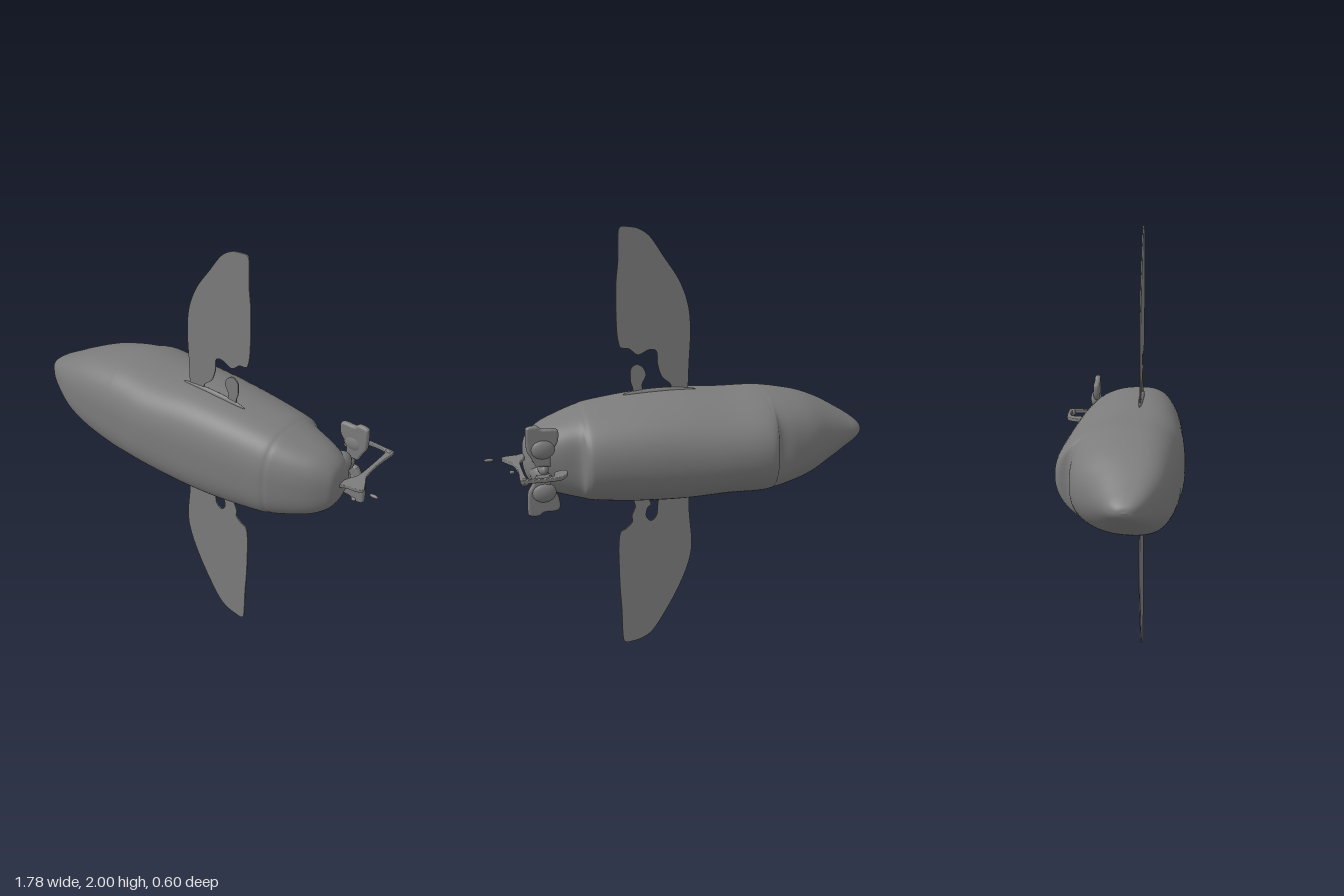
import * as THREE from 'three';
import { ParametricGeometry } from 'three/addons/geometries/ParametricGeometry.js';
import { mergeVertices } from 'three/addons/utils/BufferGeometryUtils.js';

const darkGrey = new THREE.MeshStandardMaterial({ color: 0x7c7c7c, side: THREE.DoubleSide });

function add(group, name, geometry, x = 0, y = 0, z = 0) {
  const mesh = new THREE.Mesh(geometry, darkGrey);
  mesh.name = name;
  mesh.position.set(x, y, z);
  group.add(mesh);
  return mesh;
}

function addEllipsoid(group, name, position, radii) {
  add(group, name, new THREE.SphereGeometry(1, 28, 18), ...position).scale.set(...radii);
}

// Smooth outline through a few points
function outline(points, PathType = THREE.Shape) {
  const p = points.map(([x, y]) => new THREE.Vector2(x, y));
  const path = new PathType().moveTo(p[0].x, p[0].y);
  path.splineThru(p.slice(1));
  path.closePath();
  return path;
}

// Thin plate, centred on its own thickness
function plate(shape, depth, bevel = 0) {
  const g = new THREE.ExtrudeGeometry(shape, {
    depth, curveSegments: 60, bevelEnabled: bevel > 0,
    bevelSize: bevel, bevelThickness: bevel, bevelOffset: -bevel, bevelSegments: 4,
  });
  return g.translate(0, 0, -depth / 2);
}

// Hull stations: x, half height, rear z, front z, depth of the notch along the rear ridge
const stations = [
  [-0.89, 0.0, 0.07, 0.08, 0], [-0.88, 0.025, 0.035, 0.115, 0], [-0.85, 0.052, 0.0, 0.15, 0],
  [-0.8, 0.085, -0.03, 0.185, 0], [-0.7, 0.143, -0.095, 0.235, 0.005],
  [-0.6, 0.187, -0.165, 0.26, 0.012], [-0.5, 0.213, -0.215, 0.275, 0.032],
  [-0.42, 0.228, -0.244, 0.283, 0.052], [-0.395, 0.231, -0.25, 0.286, 0.005],
  [-0.34, 0.234, -0.26, 0.29, 0], [-0.2, 0.234, -0.256, 0.3, 0], [0.0, 0.246, -0.238, 0.29, 0],
  [0.2, 0.24, -0.222, 0.275, 0], [0.4, 0.219, -0.202, 0.25, 0], [0.45, 0.207, -0.19, 0.237, 0.006],
  [0.48, 0.199, -0.18, 0.23, 0.042], [0.56, 0.174, -0.15, 0.198, 0.03],
  [0.63, 0.148, -0.115, 0.16, 0.01], [0.68, 0.113, -0.08, 0.12, 0],
  [0.705, 0.07, -0.03, 0.09, 0], [0.712, 0.0, 0.03, 0.05, 0],
];

function hullGeometry() {
  const curve = (pick) => new THREE.CatmullRomCurve3(
    stations.map((s) => new THREE.Vector3(...pick(s))), false, 'catmullrom');
  const heights = curve(([x, h, , , notch]) => [x, h, notch]);
  const sides = curve(([x, , back, front]) => [x, back, front]);
  const power = (v, n) => Math.sign(v) * Math.pow(Math.abs(v), 2 / n);
  const a = new THREE.Vector3(), b = new THREE.Vector3();
  let g = new ParametricGeometry((u, v, target) => {
    heights.getPoint(u, a);
    sides.getPoint(u, b);
    const angle = v * Math.PI * 2, c = Math.cos(angle), s = Math.sin(angle);
    // boxy towards the front, rounder towards the back
    const n = c > 0 ? 2.7 : 2.15;
    const middle = b.y + 0.6 * (b.z - b.y);
    const reach = c > 0 ? b.z - middle : middle - b.y;
    const notch = c < 0 ? a.z * c ** 4 : 0;
    target.set(a.x, 1 + Math.max(a.y, 0) * power(s, n), middle + reach * power(c, n) + notch);
  }, 160, 80);
  g.deleteAttribute('normal');
  g.deleteAttribute('uv');
  g = mergeVertices(g, 1e-4);
  g.computeVertexNormals();
  return g;
}

export function createModel() {
  const model = new THREE.Group();
  model.name = 'wingedHull';
  add(model, 'hull', hullGeometry());

  // Upper wing with a scooped root and a separate small tab
  const upper = outline([
    [-0.06, 1.22], [-0.065, 1.36], [-0.072, 1.52], [-0.06, 1.64], [-0.02, 1.75], [0.05, 1.86],
    [0.11, 1.95], [0.16, 1.988], [0.21, 2.0], [0.245, 1.998], [0.254, 1.96], [0.256, 1.85],
    [0.266, 1.74], [0.266, 1.55], [0.255, 1.47], [0.24, 1.455], [0.21, 1.45], [0.17, 1.42],
    [0.12, 1.44], [0.085, 1.43], [0.08, 1.37], [0.06, 1.31], [0.02, 1.27], [0.02, 1.22],
  ]);
  add(model, 'upperWing', plate(upper, 0.006), 0, 0, 0.093);
  const tab = outline([
    [0.145, 1.22], [0.152, 1.28], [0.135, 1.32], [0.145, 1.355], [0.175, 1.375],
    [0.203, 1.355], [0.205, 1.3], [0.195, 1.26], [0.2, 1.22],
  ]);
  add(model, 'upperTab', plate(tab, 0.006), 0, 0, 0.093);

  // Lower wing with a drop-shaped opening
  const lower = outline([
    [-0.065, 0.78], [-0.068, 0.64], [-0.08, 0.48], [-0.06, 0.37], [-0.01, 0.25], [0.05, 0.14],
    [0.11, 0.05], [0.16, 0.015], [0.21, 0.002], [0.245, 0.003], [0.256, 0.04], [0.26, 0.18],
    [0.267, 0.3], [0.27, 0.48], [0.262, 0.565], [0.235, 0.585], [0.205, 0.615], [0.205, 0.65],
    [0.19, 0.69], [0.198, 0.73], [0.2, 0.78],
  ]);
  lower.holes.push(outline([
    [0.07, 0.745], [0.082, 0.7], [0.088, 0.64], [0.115, 0.614], [0.138, 0.64],
    [0.132, 0.68], [0.115, 0.7], [0.14, 0.745],
  ], THREE.Path));
  add(model, 'lowerWing', plate(lower, 0.006), 0, 0, 0.093);

  // Slim flares where the wings meet the hull, and the two tail blades
  for (const side of [1, -1]) {
    addEllipsoid(model, 'wingFlare', [0.07, 1 + side * 0.237, 0.093], [0.17, 0.022, 0.012]);

    const blade = outline([
      [0.615, 0.02], [0.615, 0.08], [0.585, 0.125], [0.58, 0.175], [0.6, 0.19], [0.65, 0.192],
      [0.675, 0.207], [0.715, 0.203], [0.723, 0.18], [0.72, 0.1], [0.7, 0.06], [0.68, 0.02],
    ].map(([x, y]) => [x, 1 + side * y]));
    add(model, 'tailBlade', plate(blade, 0.006, 0.011), 0, 0, -0.155);
    addEllipsoid(model, 'bladeBulge', [0.65, 1 + side * 0.1, -0.16], [0.055, 0.045, 0.026]);
    addEllipsoid(model, 'tailLobe', [0.645, 1 + side * 0.045, -0.05], [0.05, 0.055, 0.07]);
  }

  // Hub joining the blades to the hull
  addEllipsoid(model, 'bladeHub', [0.645, 1, -0.12], [0.024, 0.03, 0.05]);

  // Flat hooked tail bracket, drawn with y = -z and laid flat
  const bracket = outline([
    [0.69, -0.05], [0.715, 0.02], [0.737, 0.07], [0.742, 0.16], [0.74, 0.27], [0.725, 0.288],
    [0.66, 0.288], [0.622, 0.275], [0.612, 0.235], [0.58, 0.215], [0.556, 0.225], [0.562, 0.26],
    [0.59, 0.295], [0.64, 0.304], [0.72, 0.304], [0.762, 0.303], [0.77, 0.285], [0.762, 0.18],
    [0.768, 0.09], [0.79, 0.045], [0.81, 0.0], [0.79, -0.018], [0.74, -0.025],
  ]);
  add(model, 'tailBracket', plate(bracket, 0.01, 0.004).rotateX(-Math.PI / 2), 0, 1.01, 0);
  addEllipsoid(model, 'bracketKnob', [0.75, 1.005, -0.286], [0.02, 0.018, 0.016]);

  // Small tail tips
  addEllipsoid(model, 'tailTip', [0.865, 1.01, 0.005], [0.022, 0.008, 0.008]);
  addEllipsoid(model, 'tailBead', [0.765, 0.945, 0.005], [0.012, 0.009, 0.008]);
  return model;
}
